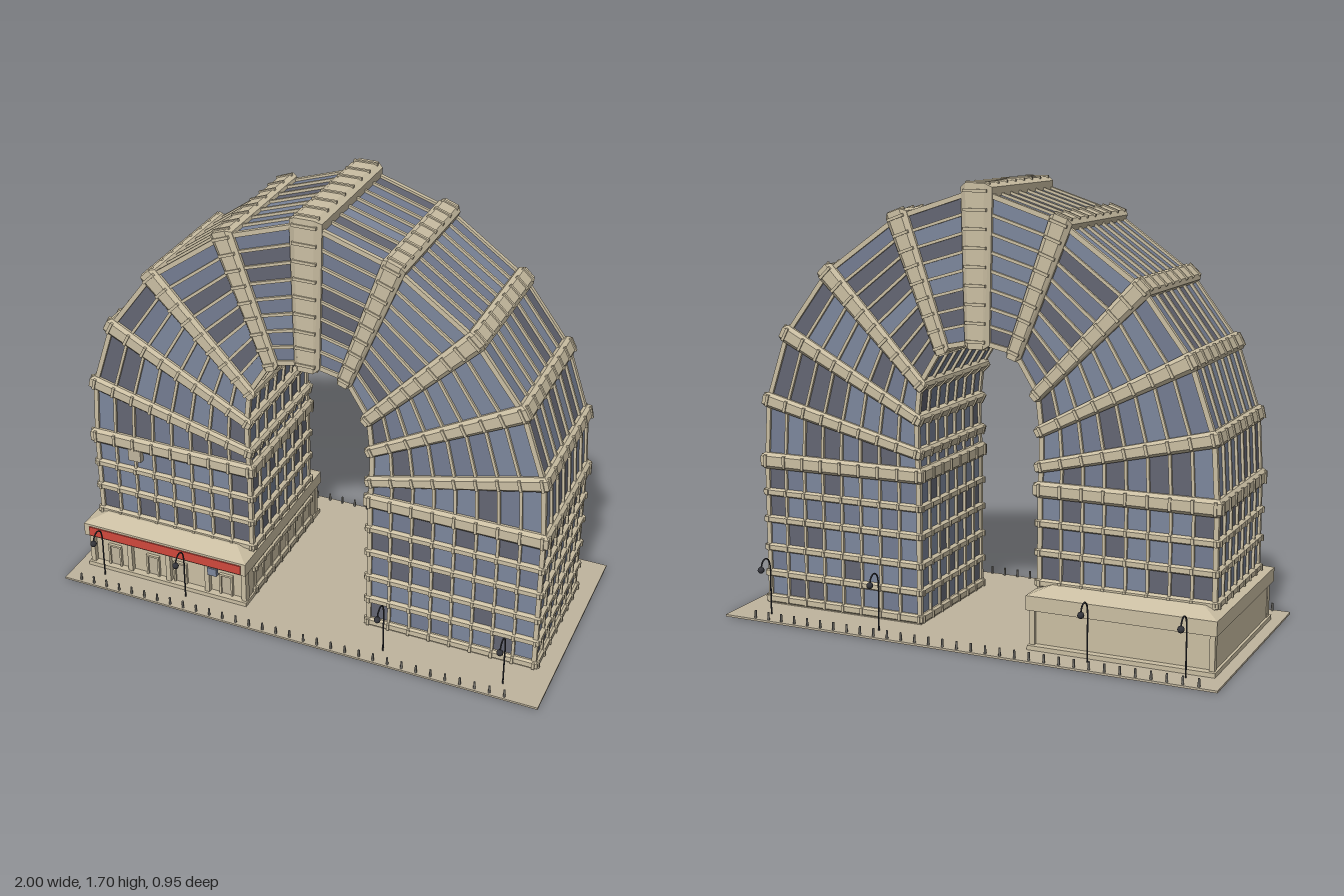
import * as THREE from 'three';
import { mergeGeometries } from 'three/addons/utils/BufferGeometryUtils.js';
import { ConvexGeometry } from 'three/addons/geometries/ConvexGeometry.js';

const V = (x, y, z) => new THREE.Vector3(x, y, z);
const mat = (color, extra = {}) => new THREE.MeshStandardMaterial({ color, ...extra });
const stone = mat(0xcbbfa3), paving = mat(0xc0b59e), dark = mat(0x33343a), red = mat(0xd0483c);
const glassMats = [0x7d879c, 0x747d92, 0x646673].map(c => mat(c));

// Gives every geometry the same attributes so they can be merged
function plain(g) {
  const out = g.index ? g.toNonIndexed() : g;
  out.deleteAttribute('uv');
  return out;
}
function addMerged(parent, name, list, material) {
  const mesh = new THREE.Mesh(mergeGeometries(list.map(plain)), material);
  mesh.name = name;
  parent.add(mesh);
}
const box = (x0, x1, y0, y1, z0, z1) =>
  new THREE.BoxGeometry(x1 - x0, y1 - y0, z1 - z0).translate((x0 + x1) / 2, (y0 + y1) / 2, (z0 + z1) / 2);

// Flat quad turned to face along `out`
function quad(a, b, c, d, out) {
  const n = b.clone().sub(a).cross(d.clone().sub(a));
  const p = n.dot(out) > 0 ? [a, b, c, a, c, d] : [a, c, b, a, d, c];
  const g = new THREE.BufferGeometry().setFromPoints(p);
  g.computeVertexNormals();
  return g;
}

// Bar from a to b, its depth lying along `out`
function bar(a, b, out, width, depth) {
  const dir = b.clone().sub(a), len = dir.length();
  dir.normalize();
  const side = dir.clone().cross(out).normalize();
  const nrm = side.clone().cross(dir);
  const m = new THREE.Matrix4().makeBasis(side, dir, nrm).setPosition(a.clone().add(b).multiplyScalar(0.5));
  return new THREE.BoxGeometry(width, len, depth).applyMatrix4(m);
}

const D = 0.265; // half depth of the glazed body
// Floor lines from ground to crown: outer x,y / inner x,y / band width outer, inner / projection
const levels = [
  [0.92, 0.03, 0.25, 0.03, 0.035, 0.035, 0.016],
  [0.92, 0.135, 0.25, 0.135, 0.03, 0.03, 0.016],
  [0.92, 0.24, 0.25, 0.24, 0.03, 0.03, 0.016],
  [0.92, 0.355, 0.25, 0.355, 0.03, 0.03, 0.016],
  [0.92, 0.465, 0.25, 0.465, 0.03, 0.03, 0.016],
  [0.92, 0.592, 0.25, 0.592, 0.065, 0.06, 0.022],
  [0.905, 0.835, 0.255, 0.678, 0.06, 0.045, 0.022],
  [0.815, 1.10, 0.255, 0.81, 0.07, 0.045, 0.022],
  [0.63, 1.345, 0.24, 0.945, 0.08, 0.05, 0.024],
  [0.325, 1.562, 0.15, 1.09, 0.09, 0.06, 0.026],
  [0, 1.668, 0, 1.122, 0.125, 0.1, 0.028],
];

// Corners of a floor line, in order round the body
function corners(l, s) {
  const [ox, oy, ix, iy] = l;
  return [V(s * ox, oy, D), V(s * ix, iy, D), V(s * ix, iy, -D), V(s * ox, oy, -D)];
}

// Chamfered band that wraps the body at a floor line
function band(l, s) {
  const [ox, oy, ix, iy, wo, wi, p] = l;
  const o = V(s * ox, oy, 0), i = V(s * ix, iy, 0);
  const r = o.clone().sub(i).normalize(), t = V(-r.y, r.x, 0);
  const pts = [];
  for (const [k, off] of [[0.5, p * 0.45], [0.3, p]])
    for (const e of [-k, k])
      for (const z of [-1, 1]) {
        const zz = z * (D + off);
        pts.push(o.clone().addScaledVector(r, off).addScaledVector(t, e * wo).setZ(zz));
        pts.push(i.clone().addScaledVector(r, -off).addScaledVector(t, e * wi).setZ(zz));
      }
  return new ConvexGeometry(pts);
}

function buildArch(group) {
  const panes = [[], [], []], mullions = [], bands = [], ribs = [];
  let seed = 7;
  const rnd = () => (seed = (seed * 16807) % 2147483647) / 2147483647;
  for (const s of [1, -1]) {
    levels.forEach((l, k) => {
      const crown = k === levels.length - 1;
      if (!crown || s === 1) bands.push(band(l, s));
      const A = corners(l, s);
      const r = A[0].clone().sub(A[1]).normalize();
      const t = V(-r.y, r.x, 0);
      const outs = [V(0, 0, 1), r.clone().negate(), V(0, 0, -1), r];
      const B = crown ? null : corners(levels[k + 1], s);
      for (let f = 0; f < 4; f++) {
        const n = f % 2 ? 7 : 8, g = (f + 1) % 4;
        for (let j = 0; j <= n; j++) {
          const a = A[f].clone().lerp(A[g], j / n);
          // Rib carrying the mullion over the band
          if (!crown || s === 1) {
            const w = f === 1 ? l[5] : f === 3 ? l[4] : THREE.MathUtils.lerp(l[4], l[5], f ? 1 - j / n : j / n);
            const c = a.clone().addScaledVector(outs[f], l[6] * 0.5);
            ribs.push(bar(c.clone().addScaledVector(t, -w * 0.38), c.clone().addScaledVector(t, w * 0.38), outs[f], 0.011, l[6] + 0.01));
          }
          if (!B) continue;
          const b = B[f].clone().lerp(B[g], j / n);
          let out = outs[f];
          if (f % 2) {
            const up = b.clone().sub(a).normalize();
            out = V(up.y, -up.x, 0);
            if (out.dot(outs[f]) < 0) out.negate();
          }
          const edge = j === 0 || j === n;
          mullions.push(bar(a, b, out, edge ? 0.018 : 0.011, edge ? 0.018 : 0.02));
          if (j === n) continue;
          const a2 = A[f].clone().lerp(A[g], (j + 1) / n), b2 = B[f].clone().lerp(B[g], (j + 1) / n);
          const q = rnd();
          panes[q < 0.45 ? 0 : q < 0.75 ? 1 : 2].push(quad(a, a2, b2, b, out));
        }
      }
    });
  }
  panes.forEach((p, i) => addMerged(group, 'windowPanes' + (i + 1), p, glassMats[i]));
  addMerged(group, 'mullions', mullions, stone);
  addMerged(group, 'floorBands', bands, stone);
  addMerged(group, 'bandRibs', ribs, stone);
  addMerged(group, 'legFootings', [1, -1].map(s => box(s * 0.585 - 0.34, s * 0.585 + 0.34, 0.005, 0.025, -0.27, 0.27)), stone);
}

function buildShop(group) {
  const parts = [
    box(-0.945, -0.245, 0.005, 0.17, -0.33, 0.33), // walls
    box(-0.955, -0.238, 0.005, 0.025, -0.36, 0.36), // plinth
    box(-0.96, -0.235, 0.16, 0.215, -0.365, 0.365), // canopy
  ];
  // Sloping roof
  const roof = [];
  for (const z of [-1, 1])
    for (const [x0, x1, y, d] of [[-0.96, -0.235, 0.215, 0.365], [-0.89, -0.305, 0.242, 0.29]])
      roof.push(V(x0, y, z * d), V(x1, y, z * d));
  parts.push(new ConvexGeometry(roof));
  // Front and corner pillars
  for (const x of [-0.938, -0.765, -0.59, -0.415, -0.252]) parts.push(box(x - 0.01, x + 0.01, 0.01, 0.165, 0.32, 0.35));
  for (const x of [-0.938, -0.252]) parts.push(box(x - 0.01, x + 0.01, 0.01, 0.165, -0.345, -0.32));
  addMerged(group, 'shopBuilding', parts, stone);
  addMerged(group, 'shopFascia', [box(-0.935, -0.255, 0.166, 0.206, 0.36, 0.37)], red);
  // Doors with frames
  const frames = [], doors = [];
  for (const x of [-0.84, -0.665, -0.54, -0.335]) {
    for (const e of [-1, 1]) frames.push(box(x + e * 0.025 - 0.004, x + e * 0.025 + 0.004, 0.02, 0.115, 0.32, 0.342));
    frames.push(box(x - 0.029, x + 0.029, 0.112, 0.12, 0.32, 0.342));
    doors.push(box(x - 0.022, x + 0.022, 0.025, 0.112, 0.32, 0.334));
  }
  addMerged(group, 'doorFrames', frames, stone);
  addMerged(group, 'doors', doors, paving);
  addMerged(group, 'smallPanel', [box(-0.405, -0.365, 0.118, 0.152, 0.345, 0.362)], glassMats[0]);
  addMerged(group, 'wallBox', [box(-0.775, -0.72, 0.52, 0.57, 0.265, 0.288)], paving);
}

function buildStreet(group) {
  addMerged(group, 'pavement', [box(-1, 1, 0, 0.008, -0.475, 0.475)], paving);
  // Curved street lamps
  const lamps = [], bollards = [];
  for (const z of [1, -1]) {
    for (const x of [-0.86, -0.49, 0.36, 0.84]) {
      const path = new THREE.CatmullRomCurve3(
        [[0.395, 0.005], [0.395, 0.1], [0.395, 0.195], [0.405, 0.228], [0.428, 0.241], [0.451, 0.23], [0.46, 0.205]]
          .map(([d, y]) => V(x, y, z * d)));
      lamps.push(new THREE.TubeGeometry(path, 28, 0.003, 6));
      lamps.push(new THREE.SphereGeometry(0.013, 10, 8).translate(x, 0.203, z * 0.46));
    }
    for (let i = 0; i < 32; i++)
      bollards.push(new THREE.CylinderGeometry(0.004, 0.005, 0.034, 6).translate(-0.93 + i * 0.058, 0.022, z * 0.463));
  }
  addMerged(group, 'streetLamps', lamps, dark);
  addMerged(group, 'bollards', bollards, mat(0x77756f));
}

export function createModel() {
  const model = new THREE.Group();
  model.name = 'archBuilding';
  for (const [name, build] of [['arch', buildArch], ['shop', buildShop], ['street', buildStreet]]) {
    const g = new THREE.Group();
    g.name = name;
    build(g);
    model.add(g);
  }
  return model;
}
